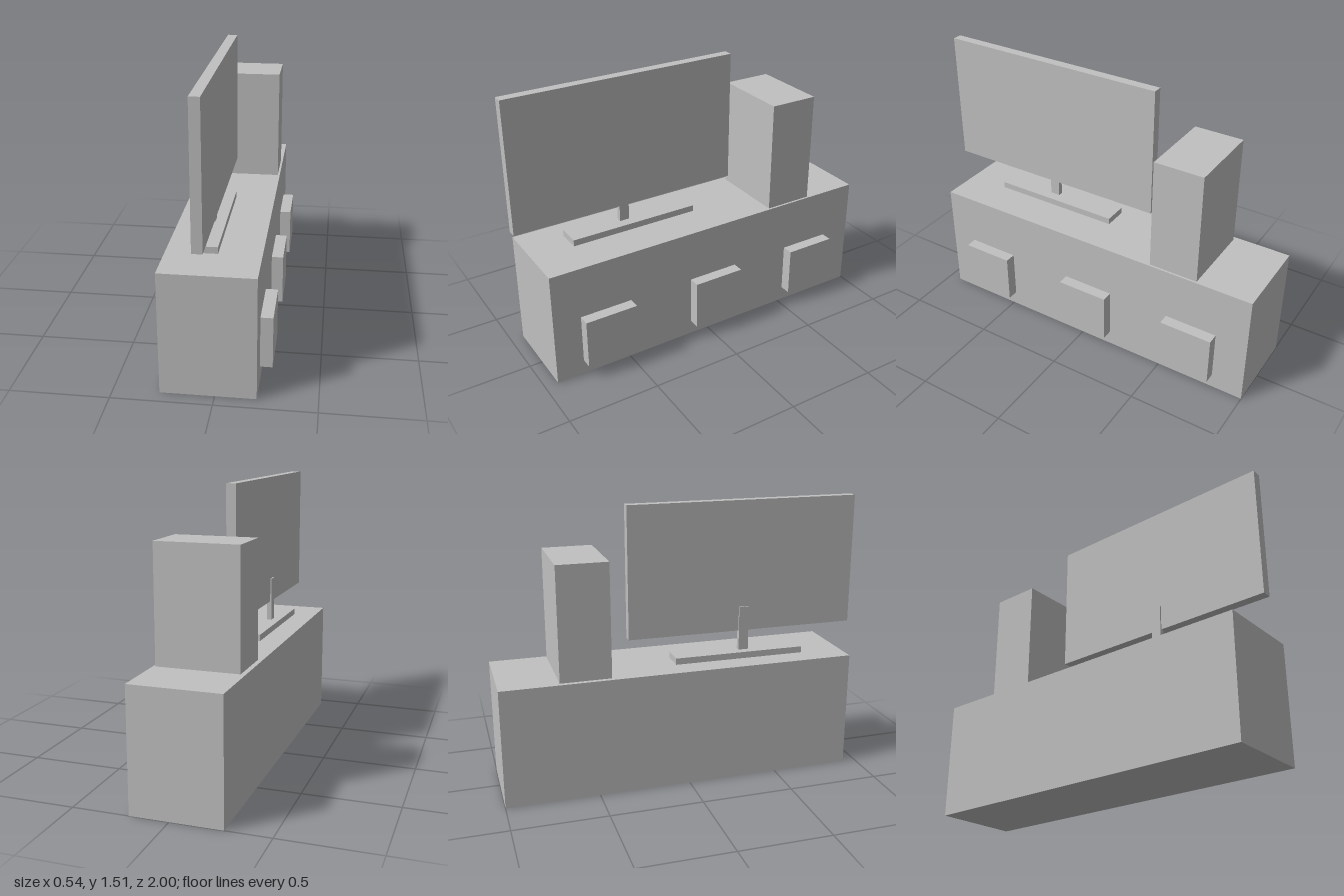
import * as THREE from 'three';

export function createModel() {
  const model = new THREE.Group();
  model.name = 'mediaCabinet';
  const grey = new THREE.MeshStandardMaterial({ color: 0xc0c0c0 });
  grey.name = 'plainGrey';

  // Box given by its extent along each axis
  function block(name, [x0, x1], [y0, y1], [z0, z1], parent = model) {
    const mesh = new THREE.Mesh(new THREE.BoxGeometry(x1 - x0, y1 - y0, z1 - z0), grey);
    mesh.position.set((x0 + x1) / 2, (y0 + y1) / 2, (z0 + z1) / 2);
    mesh.name = name;
    parent.add(mesh);
  }

  // Long low cabinet
  const top = 0.645;
  block('cabinet', [-0.27, 0.204], [0, top], [-1, 0.928]);

  // Three raised door panels on the +x side
  [0.628, -0.036, -0.677].forEach((z, i) =>
    block(`doorPanel${i + 1}`, [0.204, 0.267], [0.083, 0.358], [z - 0.146, z + 0.146]));

  // Upright box at the back end
  block('tower', [-0.245, 0.192], [top, 1.258], [-0.688, -0.416]);

  // Flat screen on its stand
  const television = new THREE.Group();
  television.name = 'television';
  model.add(television);
  block('standBase', [-0.142, -0.011], [top, 0.68], [-0.04, 0.692], television);
  block('standStem', [-0.095, -0.067], [0.68, 0.924], [0.335, 0.39], television);
  block('screen', [-0.087, -0.035], [0.789, 1.507], [-0.287, 1], television);

  return model;
}
